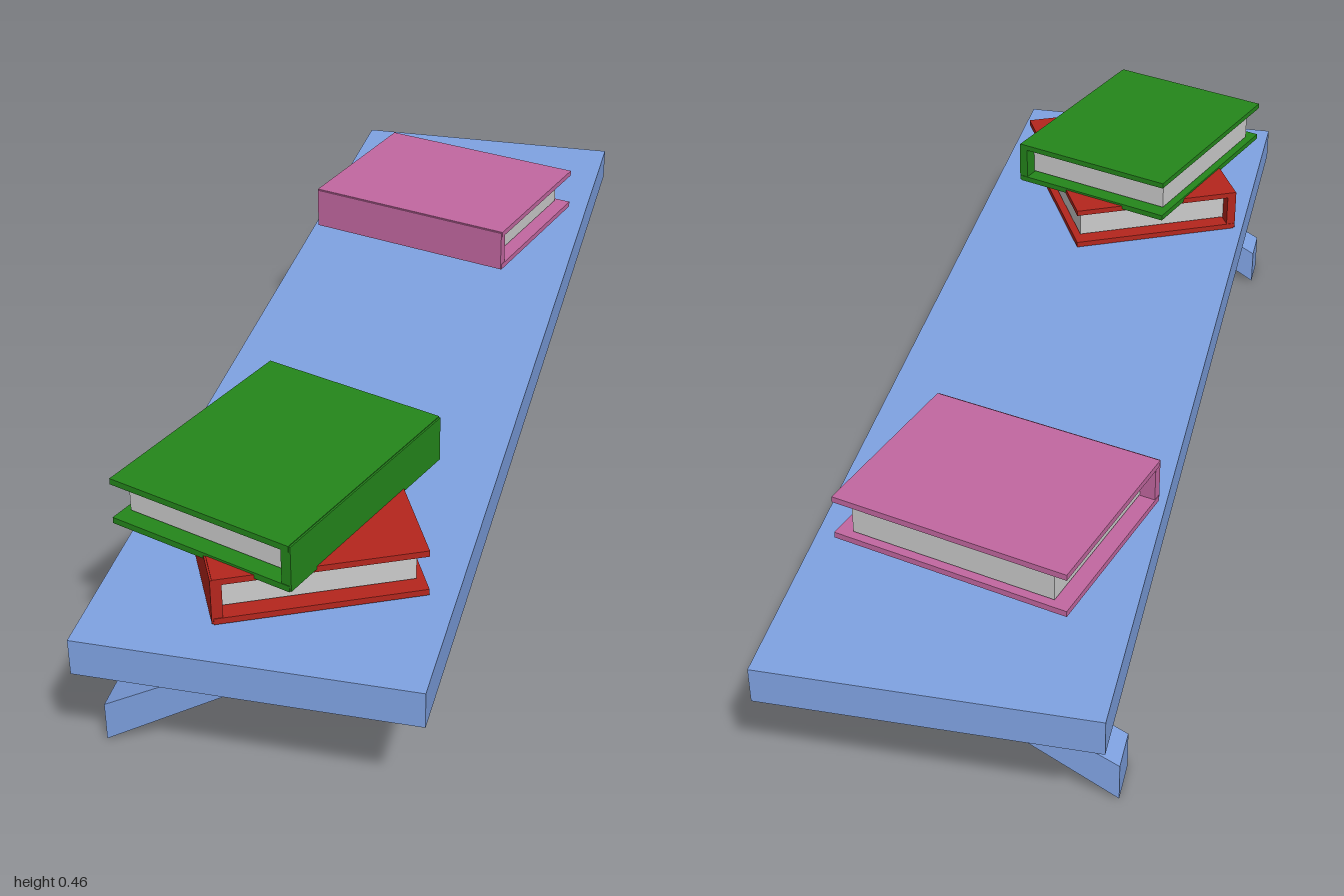
import * as THREE from 'three';

const material = (color) => new THREE.MeshStandardMaterial({ color });

function addBox(parent, name, mat, size, position) {
  const mesh = new THREE.Mesh(new THREE.BoxGeometry(...size), mat);
  mesh.name = name;
  mesh.position.set(...position);
  parent.add(mesh);
  return mesh;
}

// Closed book lying flat, spine towards local +z, resting on local y = 0
function makeBook(name, color, paper) {
  const length = 0.436, depth = 0.342, height = 0.085, board = 0.011;
  const book = new THREE.Group();
  book.name = name;
  const cover = material(color);
  addBox(book, 'bottomCover', cover, [length, board, depth], [0, board / 2, 0]);
  addBox(book, 'topCover', cover, [length, board, depth], [0, height - board / 2, 0]);
  addBox(book, 'spine', cover, [length - 0.002, height - 0.003, 0.018], [0, height / 2, depth / 2 - 0.006]);
  // Page block set back from the open edges
  const back = -depth / 2 + 0.014, front = depth / 2 - 0.014;
  addBox(book, 'pages', paper, [length - 0.058, height - 2 * board - 0.005, front - back],
    [0, height / 2, (front + back) / 2]);
  return book;
}

export function createModel() {
  const model = new THREE.Group();
  model.name = 'wallShelfWithBooks';
  const wood = material(0x7fa2e2);
  const paper = material(0xcccccc);

  // Shelf board
  addBox(model, 'shelfBoard', wood, [0.56, 0.065, 2], [0, 0.2605, 0]);

  // Slanted braces beneath the board, cut flush at wall and shelf
  const profile = new THREE.Shape([
    [-0.28, 0], [0.09, 0.228], [0, 0.228], [-0.28, 0.072],
  ].map(([x, y]) => new THREE.Vector2(x, y)));
  for (const [name, z] of [['frontBrace', 0.809], ['backBrace', -0.866]]) {
    const brace = new THREE.Mesh(
      new THREE.ExtrudeGeometry(profile, { depth: 0.076, bevelEnabled: false }), wood);
    brace.name = name;
    brace.position.z = z;
    model.add(brace);
  }

  // Books: name, colour, position, turn
  const books = [
    ['redBook', 0xb5261d, [-0.013, 0.295, 0.645], -1.12],
    ['greenBook', 0x24861b, [-0.04, 0.373, 0.647], 1.233],
    ['pinkBook', 0xc267a0, [-0.012, 0.301, -0.564], -0.272],
  ];
  for (const [name, color, position, turn] of books) {
    const book = makeBook(name, color, paper);
    book.position.set(...position);
    book.rotation.y = turn;
    model.add(book);
  }
  return model;
}
